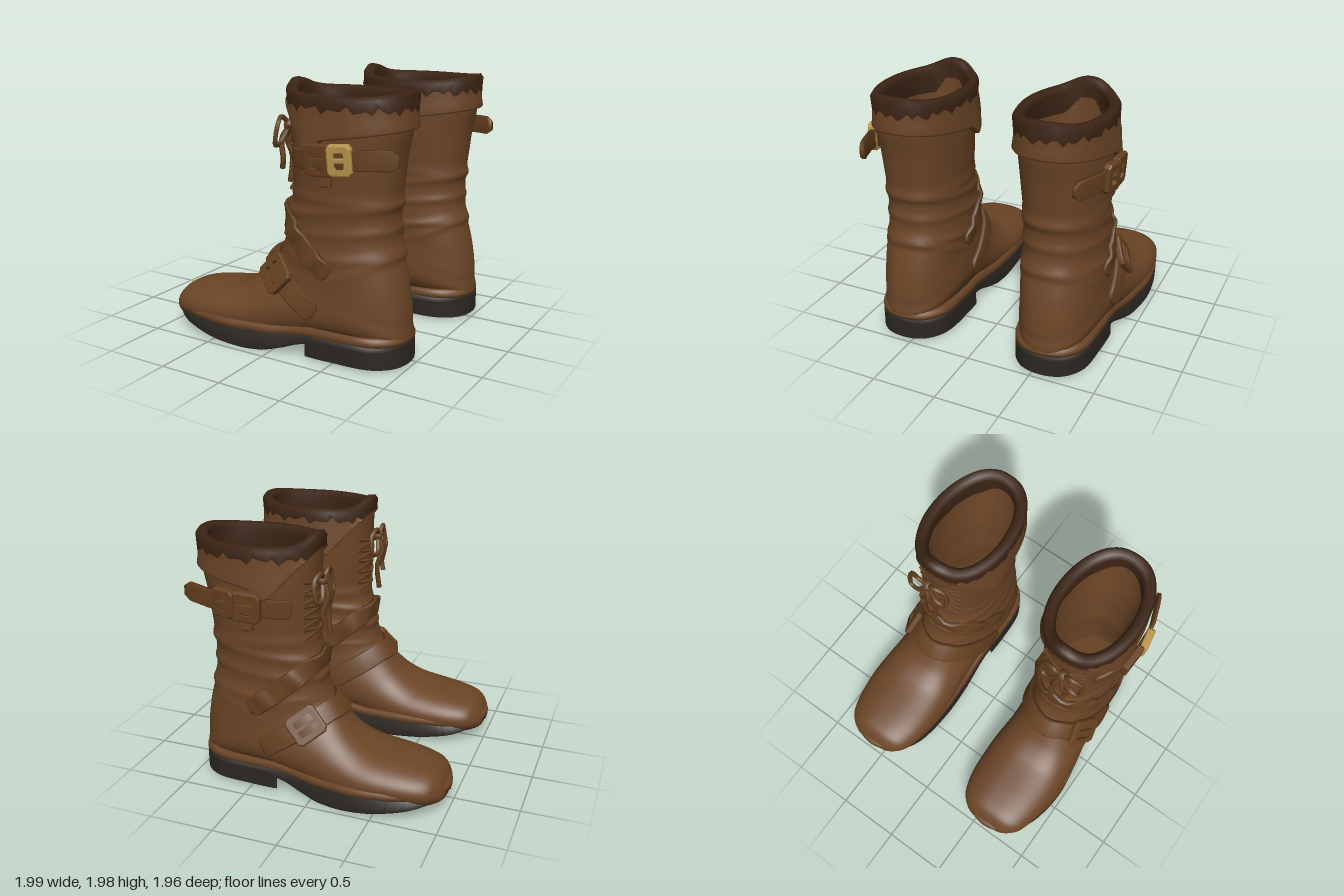
import * as THREE from 'three';

const V = (x, y, z) => new THREE.Vector3(x, y, z);
const mat = c => new THREE.MeshStandardMaterial({ color: c, side: THREE.DoubleSide });
const leather = mat(0x6b4526), strapLeather = mat(0x64401f), darkTrim = mat(0x3c2415), rubber = mat(0x2c2823), brass = mat(0xb8944a);
const N = 64, CZ = 0.59;
const spow = (s, p) => Math.sign(s) * Math.abs(s) ** p;

// piecewise linear lookup
function lookup(table, x) {
  for (let i = 1; i < table.length; i++) {
    const [x0, y0] = table[i - 1], [x1, y1] = table[i];
    if (x <= x1) return y0 + (y1 - y0) * Math.max(0, (x - x0) / (x1 - x0));
  }
  return table[table.length - 1][1];
}

// closed rings of points joined into a surface
function loft(rings) {
  const n = rings[0].length, pos = [], idx = [];
  rings.forEach(r => r.forEach(p => pos.push(p.x, p.y, p.z)));
  for (let i = 0; i < rings.length - 1; i++) for (let j = 0; j < n; j++) {
    const a = i * n + j, b = i * n + (j + 1) % n;
    idx.push(a, b, a + n, b, b + n, a + n);
  }
  const g = new THREE.BufferGeometry();
  g.setAttribute('position', new THREE.Float32BufferAttribute(pos, 3));
  g.setIndex(idx);
  g.computeVertexNormals();
  return g;
}

// sections from toe to top: front x, y, back x, y, half width, centre z
const ROWS = [
  [-.985, .17, -.985, .15, .06, .6], [-.97, .22, -.97, .1, .15, .6], [-.93, .285, -.92, .07, .225, .6],
  [-.86, .33, -.84, .05, .285, .6], [-.7, .365, -.68, .04, .33, .6], [-.5, .395, -.45, .03, .35, .605],
  [-.38, .425, -.2, .04, .345, .605], [-.27, .49, .1, .09, .325, .6], [-.19, .57, .45, .15, .315, .59],
  [-.12, .66, .93, .17, .31, .575], [-.05, .74, .965, .3, .305, .57], [-.02, .82, .955, .45, .3, .57],
  [0, .9, .925, .62, .3, .565], [.01, .97, .88, .8, .295, .56], [.03, 1.08, .86, .97, .29, .56],
  [.06, 1.2, .86, 1.15, .29, .56], [.055, 1.35, .88, 1.33, .3, .56], [.05, 1.5, .9, 1.5, .31, .56],
  [.04, 1.65, .93, 1.65, .315, .56], [.035, 1.84, .95, 1.84, .32, .555],
];
const LAST = ROWS.length - 1;
function section(u) {
  const i = Math.min(LAST - 1, Math.max(0, Math.floor(u))), f = u - i;
  const r = k => ROWS[Math.min(LAST, Math.max(0, i + k))];
  return r(0).map((b, c) => {
    const a = r(-1)[c], d = r(1)[c], e = r(2)[c];
    return b + .5 * f * (d - a + f * (2 * a - 5 * b + 4 * d - e + f * (3 * (b - d) + e - a)));
  });
}

// soft creases around the ankle: height, slope, amount, width
const FOLDS = [[1.04, .13, .035, .03], [.9, .1, .03, .03], [.66, .2, .02, .03], [.74, .06, .02, .025], [1.2, -.03, .025, .04], [.4, .45, .025, .03]];
function surface(u, t, scale = 1) {
  const [ax, ay, bx, by, w, zc] = section(u), c = Math.cos(t);
  const x = (ax + bx) / 2 + (ax - bx) / 2 * c, y = (ay + by) / 2 + (ay - by) / 2 * c;
  let k = scale;
  if (u > 10) for (const [y0, m, a, s] of FOLDS) k += a * Math.exp(-(((y - y0 - m * x) / s) ** 2)) * Math.min(1, u - 10);
  return V((ax + bx) / 2 + (x - (ax + bx) / 2) * k, (ay + by) / 2 + (y - (ay + by) / 2) * k, zc + w * spow(Math.sin(t), .82) * k);
}
function normalAt(u, t) {
  const e = .06, dt = surface(u, t + e).sub(surface(u, t - e));
  const du = surface(Math.min(LAST, u + e), t).sub(surface(u - e, t));
  return dt.cross(du).normalize();
}
// surface parameters for a point seen from the side
function locate(x, y, side) {
  let best = 9, out = [0, 0];
  for (let u = 3; u <= LAST; u += .02) {
    const [ax, ay, bx, by] = section(u), dx = ax - bx, dy = ay - by, l2 = dx * dx + dy * dy;
    const c = 2 * ((x - bx) * dx + (y - by) * dy) / l2 - 1;
    const d = Math.abs((x - bx) * dy - (y - by) * dx) / Math.sqrt(l2) + Math.max(0, Math.abs(c) - 1);
    if (d < best) { best = d; out = [u, Math.acos(Math.min(1, Math.max(-1, c))) * side]; }
  }
  return out;
}

// strap hugging the leather; points are [x, y, side, offset], tail points are free
function strap(points, hw, th, tail = []) {
  const q = points.map(([x, y, s, o = 0]) => [...locate(x, y, s), o]), path = [];
  for (let i = 0; i < q.length - 1; i++) for (let k = 0; k < 6 + (i === q.length - 2); k++) {
    const [u, t, o] = q[i].map((a, c) => a + (q[i + 1][c] - a) * k / 6), n = normalAt(u, t);
    path.push({ p: surface(u, t).addScaledVector(n, o), n });
  }
  tail.forEach(p => path.push({ p, n: V(.35, 0, 1).normalize() }));
  const rings = path.map(({ p, n }, i) => {
    const T = path[Math.min(path.length - 1, i + 1)].p.clone().sub(path[Math.max(0, i - 1)].p).normalize();
    const b = T.clone().cross(n).normalize(), w = hw * (i === 0 || i === path.length - 1 ? .55 : 1);
    return [[-1, -.6], [-1, .6], [-.85, 1], [.85, 1], [1, .6], [1, -.6]].map(([s, h]) =>
      p.clone().addScaledVector(b, s * w).addScaledVector(n, h * th));
  });
  const cap = i => rings[i].map(() => path[i].p.clone());
  return loft([cap(0), ...rings, cap(path.length - 1)]);
}

// rectangular buckle frame with a centre bar, laid on the surface
function buckle(x, y, w, h, angle, off, depth) {
  const box = (C, a, b) => { C.moveTo(-a, -b * .8); [[-a, b * .8], [-a * .8, b], [a * .8, b], [a, b * .8], [a, -b * .8], [a * .8, -b], [-a * .8, -b]].forEach(p => C.lineTo(...p)); return C; };
  const s = box(new THREE.Shape(), w / 2, h / 2);
  s.holes.push(box(new THREE.Path(), w / 2 - .04, h / 2 - .04));
  const g = new THREE.ExtrudeGeometry(s, { depth, bevelEnabled: true, bevelSize: .012, bevelThickness: .012, bevelSegments: 2 });
  const bar = new THREE.BoxGeometry(w * .9, .025, depth).translate(0, 0, depth * .8);
  const [u, t] = locate(x, y, 1), n = normalAt(u, t);
  const Y = V(-Math.sin(angle), Math.cos(angle), 0), X = Y.clone().cross(n).normalize();
  const m = new THREE.Matrix4().makeBasis(X, n.clone().cross(X), n).setPosition(surface(u, t).addScaledVector(n, off));
  return [g.applyMatrix4(m), bar.applyMatrix4(m)];
}
const tube = (pts, r) => new THREE.TubeGeometry(new THREE.CatmullRomCurve3(pts), 24, r, 6);

// sole outline and heights
const OUT = new THREE.CatmullRomCurve3([[-1, .6], [-.94, .78], [-.75, .91], [-.4, .97], [-.1, .935], [.2, .88], [.5, .87], [.8, .84], [.94, .73], [.98, .57],
  [.94, .41], [.8, .3], [.5, .27], [.2, .275], [-.1, .255], [-.4, .245], [-.75, .29], [-.94, .42]].map(([x, z]) => V(x, 0, z)), true).getPoints(96).slice(0, -1);
const BOTTOM = [[-1, .14], [-.8, .075], [-.5, .025], [-.2, 0], [-.05, .008], [.1, .05], [.25, .105], [.45, .13], [1, .13]];
const TOP = [[-1, .165], [-.6, .155], [0, .15], [.3, .185], [1, .185]];
const soleRing = (table, k, dy = 0, kz = k) => OUT.map(p => V(p.x * k, lookup(table, p.x) + dy, CZ + (p.z - CZ) * kz));

function cuffRing(fy, off) {
  return Array.from({ length: N }, (_, j) => {
    const t = j / N * Math.PI * 2, c = Math.cos(t), x0 = .49 - .47 * c;
    const low = lookup([[.02, 1.86], [.34, 1.52], [.44, 1.61], [.98, 1.69]], x0);
    const high = 1.915 + (c > 0 ? .07 * c ** 10 : .035 * c ** 4);
    const flare = Math.max(0, 1 - Math.abs(x0 - .34) / .2) * .03 * (high - fy(low, high, j)) / .4;
    const o = off + flare;
    return V(.49 - (.455 + o) * c, fy(low, high, j), .555 + (.31 + o) * spow(Math.sin(t), .85));
  });
}

function buildBoot(s) {
  const boot = new THREE.Group();
  const add = (name, g, m) => {
    if (s < 0) {
      if (!g.index) g.setIndex([...Array(g.attributes.position.count).keys()]);
      g.scale(1, 1, -1);
      const a = g.index.array;
      for (let i = 0; i < a.length; i += 3) [a[i], a[i + 1]] = [a[i + 1], a[i]];
    }
    const mesh = new THREE.Mesh(g, m);
    mesh.name = name;
    boot.add(mesh);
  };
  const bodyRing = (u, k) => Array.from({ length: N }, (_, j) => surface(u, j / N * Math.PI * 2, k));

  // foot and shaft
  const rings = [];
  for (let u = 0; u <= LAST; u += u < 10 ? .25 : .125) rings.push(bodyRing(u, 1));
  add('upper', loft(rings), leather);
  const inner = [];
  for (let u = LAST; u >= 10; u -= .5) inner.push(bodyRing(u, .87));
  inner.push(bodyRing(10, .01));
  add('lining', loft(inner), leather);

  // folded cuff with a ragged dark edge
  const jag = j => 1.82 + .022 * Math.sin(j * 2.4) + .012 * Math.sin(j * 1.1);
  const edge = (l, h, j) => Math.max(l + .01, jag(j));
  add('cuff', loft([cuffRing(l => l, -.01), cuffRing(l => l, .025), cuffRing(l => l + .015, .035),
    cuffRing((l, h, j) => (l + edge(l, h, j)) / 2, .025), cuffRing(edge, .025)]), leather);
  add('cuffTrim', loft([cuffRing(edge, .025), cuffRing((l, h) => h - .03, .03), cuffRing((l, h) => h, .01), cuffRing((l, h) => h - .005, -.04),
    cuffRing((l, h) => h - .04, -.065), cuffRing(() => 1.72, -.05)]), darkTrim);

  // sole, welt and heel
  add('sole', loft([soleRing(BOTTOM, 1, 0, 0), soleRing(BOTTOM, .975), soleRing(BOTTOM, .995, .012), soleRing(TOP, 1), soleRing(TOP, .9)]), rubber);
  add('welt', loft([soleRing(TOP, .96), soleRing(TOP, .998), soleRing(TOP, 1, .025), soleRing(TOP, .985, .05), soleRing(TOP, .95, .062), soleRing(TOP, .86, .05)]), leather);
  const heelShape = new THREE.Shape(OUT.filter(p => p.x > .28).map(p => new THREE.Vector2(p.x, -p.z)));
  heelShape.quadraticCurveTo(.5, -.57, .285, -.87);
  add('heel', new THREE.ExtrudeGeometry(heelShape, { depth: .13, bevelEnabled: false }).rotateX(-Math.PI / 2).translate(0, .02, 0), rubber);

  // crossed ankle straps
  const around = half => [...half.slice(0, -1), half[half.length - 1], ...half.slice(0, -1).reverse().map(([x, y, d, o]) => [x, y, -d, o])];
  add('ankleStrap', strap(around([[.48, .66, 1], [.3, .8, 1, .005], [.12, .96, 1, .005], [.02, 1.04, 0, .005]]), .075, .022), strapLeather);
  add('instepStrap', strap(around([[.38, .37, 1], [.22, .47, 1, .01], [.04, .59, 1, .02], [-.07, .66, 1, .015], [-.13, .67, 0, .015]]), .08, .024), strapLeather);
  buckle(.05, .58, .23, .21, -.66, .04, .025).forEach(g => add('instepBuckle', g, strapLeather));

  // upper strap with a loose tail
  add('shaftStrap', strap([[.16, 1.46, 1], [.3, 1.47, 1, .01], [.45, 1.49, 1, .03], [.62, 1.5, 1, .05]], .07, .02,
    [V(.75, 1.51, .895), V(.88, 1.515, .85), V(.94, 1.515, .825), V(.985, 1.515, .805)]), strapLeather);
  add('strapTip', strap([[.47, 1.44, 1, .01], [.47, 1.36, 1, .02], [.47, 1.3, 1, .03]], .05, .015), strapLeather);
  buckle(.45, 1.49, .2, .2, .06, .04, .03).forEach(g => add('shaftBuckle', g, strapLeather));
  buckle(.6, 1.51, .15, .19, .06, .055, .035).forEach(g => add('shaftClasp', g, s > 0 ? brass : strapLeather));

  // front lacing
  for (let i = 0; i < 5; i++) for (const d of [-1, 1]) {
    const u = 15.1 + i * .6;
    add('lace', tube([-.5, 0, .5].map((t, k) => {
      const v = u + k * .25;
      return surface(v, t * d).addScaledVector(normalAt(v, t * d), .01);
    }), .014), strapLeather);
  }
  // bow
  add('bowKnot', new THREE.SphereGeometry(.045, 12, 8).translate(0, 1.64, .6), strapLeather);
  for (const d of [-1, 1]) {
    const z = k => .6 + d * k;
    add('bowLoop', tube([V(0, 1.64, .6), V(-.02, 1.71, z(.07)), V(.0, 1.67, z(.15)), V(-.02, 1.52, z(.16)), V(-.03, 1.52, z(.09)), V(0, 1.64, .6)], .018), strapLeather);
    add('bowTail', tube([V(0, 1.64, .6), V(-.05, 1.54, z(.03)), V(-.02, 1.4, z(.06)), V(-.035, 1.21 + .06 * (d + 1), z(.05))], .02), strapLeather);
  }
  return boot;
}

export function createModel() {
  const model = new THREE.Group();
  for (const s of [1, -1]) {
    const boot = buildBoot(s);
    boot.name = s > 0 ? 'frontBoot' : 'rearBoot';
    model.add(boot);
  }
  return model;
}
